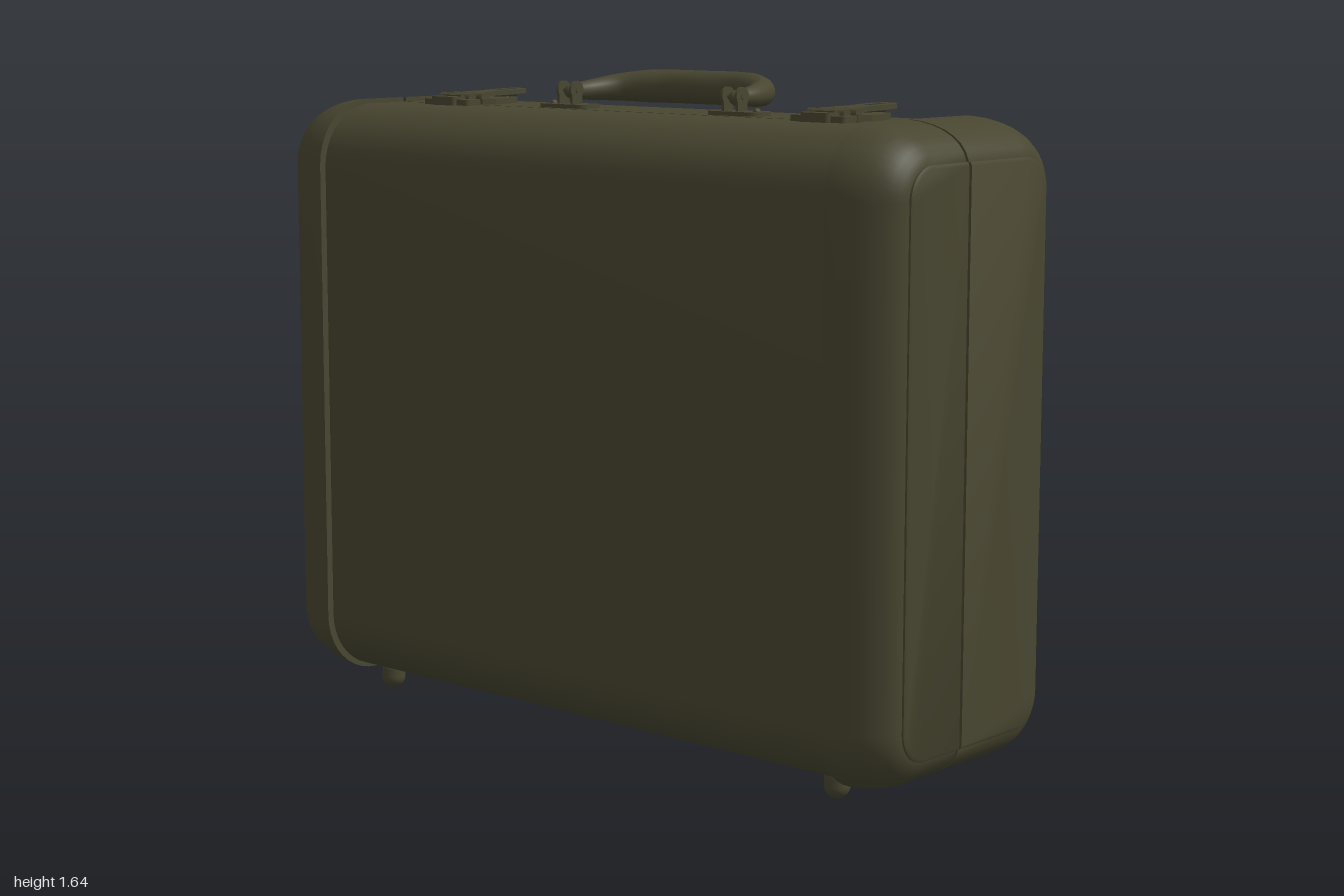
import * as THREE from 'three';
import { toCreasedNormals } from 'three/addons/utils/BufferGeometryUtils.js';

const olive = new THREE.MeshStandardMaterial({ color: 0x484630 });
olive.name = 'olive';

const SPLIT = 0.0445; // seam between the two halves
const GAP = 0.0045;

function add(parent, name, geometry, x = 0, y = 0, z = 0) {
  const mesh = new THREE.Mesh(geometry, olive);
  mesh.name = name;
  mesh.position.set(x, y, z);
  parent.add(mesh);
  return mesh;
}

// Half of a rounded rectangle, as [z, y] points, counterclockwise seen from +x
function halfSection(side, { front, back, bottom, top, radius }, inset) {
  const seam = SPLIT + side * GAP;
  const edge = (side > 0 ? front : back) - side * inset;
  const y0 = bottom + inset, y1 = top - inset, r = radius - inset;
  const points = [[seam, y1]];
  for (const [cy, start] of [[y1 - r, Math.PI / 2], [y0 + r, 0]]) {
    for (let i = 0; i <= 10; i++) {
      const a = start - (i / 10) * Math.PI / 2;
      points.push([edge - side * r + side * r * Math.cos(a), cy + r * Math.sin(a)]);
    }
  }
  points.push([seam, y0]);
  return side > 0 ? points : points.reverse();
}

// Closed solid through half sections at the stations [x, inset], x rising
function loft(side, box, stations) {
  const positions = [], index = [];
  const loops = stations.map(([x, inset]) => halfSection(side, box, inset).map(([z, y]) => [x, y, z]));
  const n = loops[0].length, last = (loops.length - 1) * n;
  loops.forEach(loop => loop.forEach(p => positions.push(...p)));
  for (let i = 0; i < last; i += n) {
    for (let j = 0; j < n; j++) {
      const a = i + j, b = i + (j + 1) % n;
      index.push(a, b, b + n, a, b + n, a + n);
    }
  }
  for (let j = 1; j < n - 1; j++) index.push(0, j + 1, j, last, last + j, last + j + 1);
  const geometry = new THREE.BufferGeometry();
  geometry.setAttribute('position', new THREE.Float32BufferAttribute(positions, 3));
  geometry.setIndex(index);
  return toCreasedNormals(geometry, 0.5);
}

// Flat plate lying in xz from an outline of [x, z] points
function plate(outline, height, hole) {
  const toVector = ([x, z]) => new THREE.Vector2(x, -z);
  const shape = new THREE.Shape(outline.map(toVector));
  if (hole) shape.holes.push(new THREE.Path(hole.map(toVector)));
  return new THREE.ExtrudeGeometry(shape, { depth: height, bevelEnabled: false }).rotateX(-Math.PI / 2);
}

// Rounded rectangle outline centred on the origin
function roundedOutline(w, d, r, cz = 0) {
  const points = [];
  [[1, 1], [-1, 1], [-1, -1], [1, -1]].forEach(([sx, sz], k) => {
    for (let i = 0; i <= 6; i++) {
      const a = (k + i / 6) * Math.PI / 2;
      points.push([sx * (w / 2 - r) + r * Math.cos(a), cz + sz * (d / 2 - r) + r * Math.sin(a)]);
    }
  });
  return points;
}

const mirrorOutline = half => [...half, ...half.map(([x, z]) => [-x, z]).reverse()];

function createLatch(x) {
  const latch = new THREE.Group();
  latch.name = 'latch';
  latch.position.set(x, 1.543, 0);
  add(latch, 'latchBasePlate', plate(mirrorOutline([
    [0.02, -0.12], [0.05, -0.11], [0.062, -0.07], [0.082, -0.03], [0.08, 0.0], [0.062, 0.03],
  ]), 0.018));
  add(latch, 'latchCatchPlate', plate(roundedOutline(0.162, 0.055, 0.012, 0.077), 0.018));
  add(latch, 'latchCatch', plate(roundedOutline(0.085, 0.06, 0.012, 0.086), 0.025));
  add(latch, 'latchBridge', new THREE.BoxGeometry(0.07, 0.012, 0.1), 0, 0.022, 0.03);
  const barrel = new THREE.CylinderGeometry(0.013, 0.013, 0.11, 14).rotateZ(Math.PI / 2);
  add(latch, 'latchPin', barrel, 0, 0.02, 0.015);
  add(latch, 'latchHookPin', barrel, 0, 0.02, 0.06);
  const lever = add(latch, 'latchLever', plate(mirrorOutline([
    [0.012, -0.175], [0.027, -0.165], [0.036, -0.14], [0.038, -0.1], [0.03, -0.05], [0.04, -0.02], [0.04, 0.01],
  ]), 0.012, roundedOutline(0.016, 0.08, 0.0075, -0.115)), 0, 0.021, 0);
  lever.rotation.x = 0.03;
  add(latch, 'latchLeverRidge', new THREE.CapsuleGeometry(0.009, 0.07, 4, 10).rotateX(Math.PI / 2), 0, 0.026, -0.115);
  return latch;
}

function createHandle() {
  const handle = new THREE.Group();
  handle.name = 'handle';
  const half = [[0.272, 1.587, -0.012], [0.268, 1.589, -0.08], [0.23, 1.595, -0.155], [0.13, 1.598, -0.202]];
  const curve = new THREE.CatmullRomCurve3([
    ...half.map(([x, y, z]) => new THREE.Vector3(-x, y, z)),
    new THREE.Vector3(0, 1.598, -0.208),
    ...half.map(p => new THREE.Vector3(...p)).reverse(),
  ]);
  // Grip swells from thin ends to a thick middle
  const grip = new THREE.TubeGeometry(curve, 64, 1, 18);
  const position = grip.attributes.position, v = new THREE.Vector3();
  for (let i = 0; i < position.count; i++) {
    const t = Math.floor(i / 19) / 64;
    const centre = curve.getPointAt(t);
    const radius = 0.018 + 0.024 * Math.min(1, Math.sin(Math.PI * t) * 1.25);
    v.fromBufferAttribute(position, i).sub(centre).multiplyScalar(radius).add(centre);
    position.setXYZ(i, v.x, v.y, v.z);
  }
  grip.computeVertexNormals();
  add(handle, 'grip', grip);

  for (const s of [-1, 1]) {
    add(handle, 'gripEnd', new THREE.SphereGeometry(0.018, 14, 10), s * 0.272, 1.587, -0.012);
    add(handle, 'handlePlate', plate(roundedOutline(0.16, 0.08, 0.028), 0.013), s * 0.28, 1.543, -0.015);
    for (const dx of [-0.022, 0.022]) {
      const x = s * 0.272 + dx;
      add(handle, 'bracketEar', new THREE.CylinderGeometry(0.023, 0.023, 0.007, 18).rotateZ(Math.PI / 2), x, 1.591, -0.007);
      add(handle, 'bracketPost', new THREE.BoxGeometry(0.007, 0.045, 0.036), x, 1.57, -0.007);
    }
    add(handle, 'bracketPin', new THREE.CylinderGeometry(0.007, 0.007, 0.056, 10).rotateZ(Math.PI / 2), s * 0.272, 1.59, -0.008);
    add(handle, 'rivet', new THREE.SphereGeometry(0.01, 10, 8), s * 0.335, 1.555, -0.015);
  }
  return handle;
}

export function createModel() {
  const model = new THREE.Group();
  model.name = 'briefcase';

  const bodyBox = { front: 0.325, back: -0.335, bottom: 0.053, top: 1.546, radius: 0.16 };
  const capBox = { front: 0.343, back: -0.343, bottom: 0.045, top: 1.558, radius: 0.165 };
  const capProfile = [[0.825, 0], [0.86, 0.003], [0.895, 0.01], [0.925, 0.02], [0.95, 0.033],
    [0.97, 0.049], [0.983, 0.066], [0.991, 0.085]];
  const panelProfile = [[0.98, 0.088], [0.996, 0.088], [1, 0.096]];
  const atEnd = (profile, s) => s > 0 ? profile : profile.map(([x, i]) => [-x, i]).reverse();

  // Two shells, each with wrapped ends and a flat end panel
  for (const side of [1, -1]) {
    const shell = new THREE.Group();
    shell.name = side > 0 ? 'frontShell' : 'backShell';
    model.add(shell);
    add(shell, 'body', loft(side, bodyBox, [[-0.84, 0], [0.84, 0]]));
    for (const s of [1, -1]) {
      add(shell, 'endCap', loft(side, capBox, atEnd(capProfile, s)));
      add(shell, 'endPanel', loft(side, capBox, atEnd(panelProfile, s)));
    }
  }

  model.add(createHandle());
  for (const s of [-1, 1]) {
    model.add(createLatch(s * 0.61));

    // Hinge under the seam
    add(model, 'hingeLeaf', plate(roundedOutline(0.12, 0.1, 0.012), 0.009), s * 0.63, 0.046, SPLIT);
    add(model, 'hingeBarrel', new THREE.CylinderGeometry(0.008, 0.008, 0.12, 12).rotateZ(Math.PI / 2), s * 0.63, 0.05, SPLIT);

    // Rounded feet
    for (const z of [0.18, -0.135]) {
      add(model, 'foot', new THREE.CapsuleGeometry(0.031, 0.02, 8, 18), s * 0.752, 0.041, z);
    }
  }
  return model;
}
